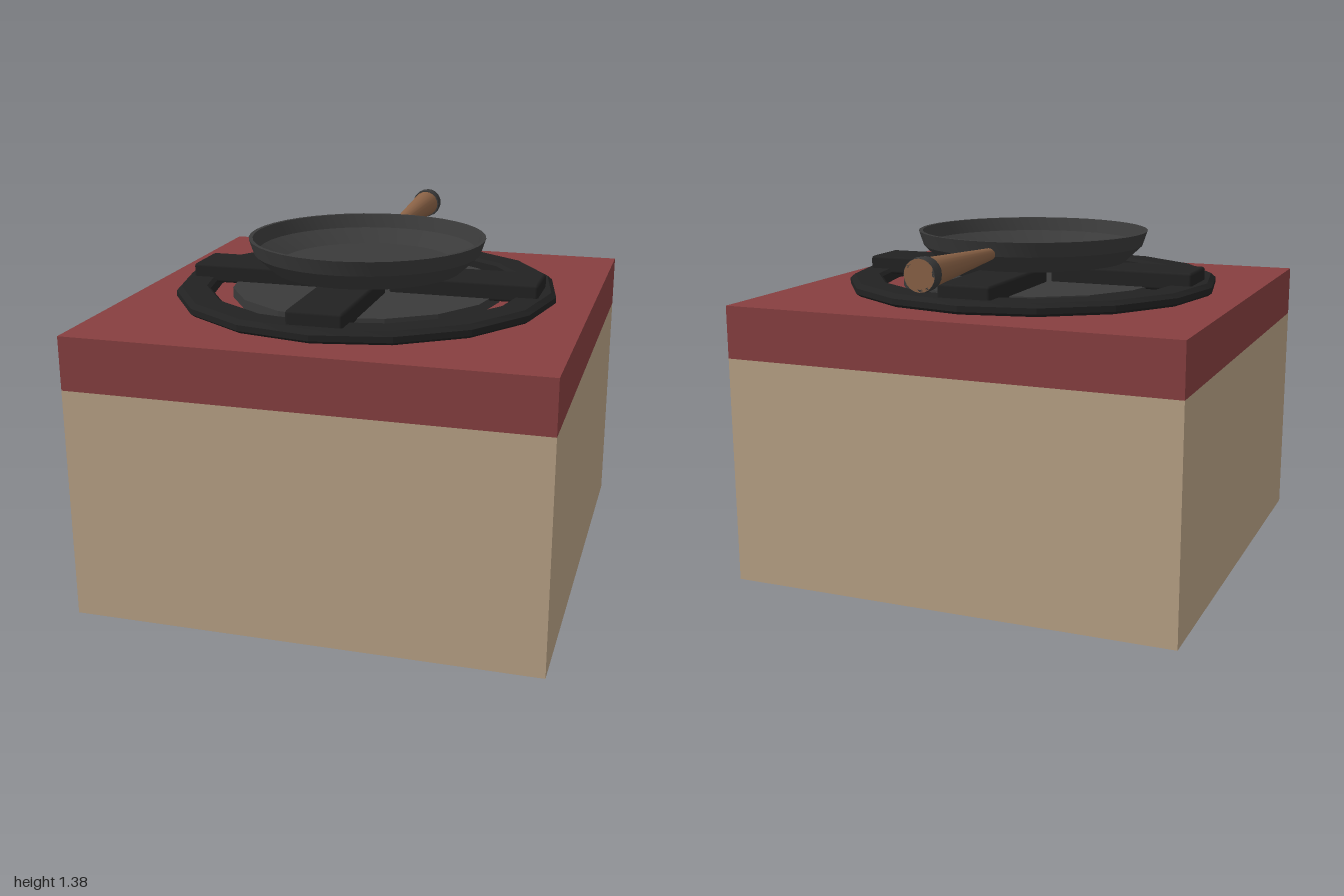
import * as THREE from 'three';
import { toCreasedNormals } from 'three/addons/utils/BufferGeometryUtils.js';
import { RoundedBoxGeometry } from 'three/addons/geometries/RoundedBoxGeometry.js';

const CENTER_Z = 0.08;

function material(name, color) {
  const m = new THREE.MeshStandardMaterial({ color });
  m.name = name;
  return m;
}

// Revolved profile with crisp edges between facets wider than the crease angle
function lathe(profile, sides, crease) {
  const points = profile.map(([r, y]) => new THREE.Vector2(r, y));
  return toCreasedNormals(new THREE.LatheGeometry(points, sides), crease);
}

export function createModel() {
  const beige = material('beige cabinet', 0xb9a286);
  const red = material('red countertop', 0x873f40);
  const iron = material('black iron', 0x222222);
  const steel = material('dark grey metal', 0x3a3a3a);
  const wood = material('brown wood', 0x8a6246);

  const model = new THREE.Group();
  model.name = 'stoveWithPan';
  const add = (name, geometry, mat, x = 0, y = 0, z = CENTER_Z, parent = model) => {
    const mesh = new THREE.Mesh(geometry, mat);
    mesh.name = name;
    mesh.position.set(x, y, z);
    parent.add(mesh);
    return mesh;
  };

  // Counter block
  add('cabinet', new THREE.BoxGeometry(1.84, 0.92, 1.84), beige, 0, 0.46);
  add('countertop', new THREE.BoxGeometry(1.84, 0.21, 1.84), red, 0, 1.025);

  // Burner: sixteen-sided bevelled ring around a low plate
  add('burnerRing', lathe([
    [0.64, 1.13], [0.76, 1.13], [0.777, 1.142], [0.777, 1.165],
    [0.757, 1.182], [0.655, 1.182], [0.64, 1.17], [0.64, 1.13],
  ], 16, 0.3), iron);
  add('burnerPlate', toCreasedNormals(new THREE.CylinderGeometry(0.55, 0.55, 0.04, 16), 0.3),
    steel, 0, 1.15);

  // Four support bars
  const grate = new THREE.Group();
  grate.name = 'grate';
  grate.position.z = CENTER_Z;
  model.add(grate);
  const barShape = new RoundedBoxGeometry(0.6, 0.075, 0.22, 1, 0.012);
  for (let i = 0; i < 4; i++) {
    const a = i * Math.PI / 2;
    const bar = add('supportBar', barShape, iron, 0.42 * Math.cos(a), 1.1975, -0.42 * Math.sin(a), grate);
    bar.rotation.y = a;
  }

  // Frying pan: outer wall, rim, inner wall and floor
  add('pan', lathe([
    [0, 1.242], [0.39, 1.242], [0.462, 1.31], [0.482, 1.37],
    [0.466, 1.37], [0.445, 1.315], [0.36, 1.262], [0, 1.262],
  ], 40, 0.4), steel);

  // Handle tapering toward the pan, with a dark band round its far end
  const handle = new THREE.Group();
  handle.name = 'handle';
  handle.position.set(0, 1.32, 0);
  handle.rotation.x = -Math.PI / 2;
  model.add(handle);
  add('handleGrip', new THREE.CylinderGeometry(0.06, 0.024, 0.615, 20), wood, 0, 0.6925, 0, handle);
  add('handleBand', lathe([
    [0.054, 0.945], [0.062, 0.945], [0.064, 0.975], [0.061, 1.0], [0.05, 1.0],
  ], 20, 0.5), steel, 0, 0, 0, handle);

  return model;
}
